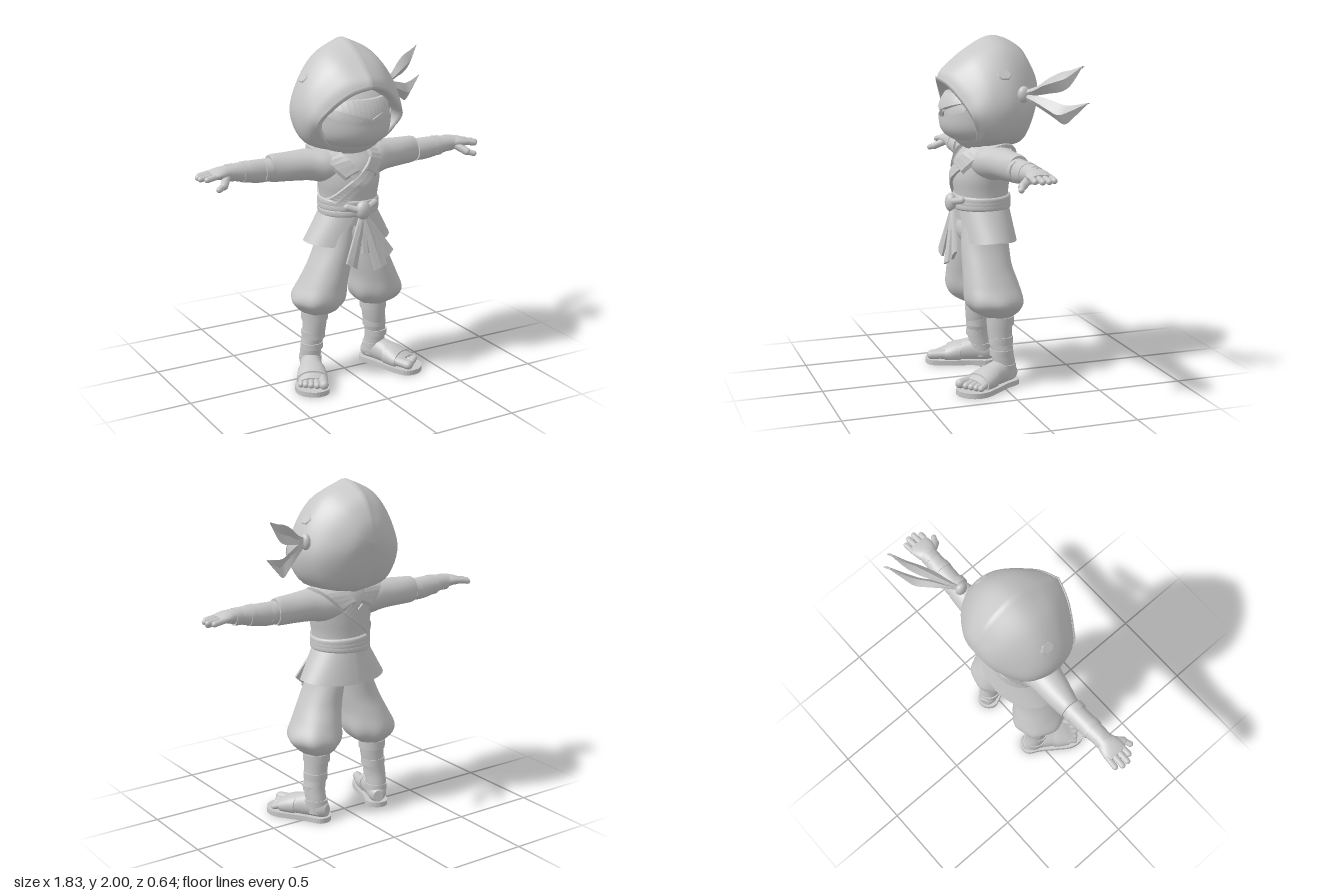
import * as THREE from 'three';

const clay = new THREE.MeshStandardMaterial({ color: 0xc8c8c8, side: THREE.DoubleSide });
clay.name = 'light grey';

function add(parent, name, geometry, pos = [0, 0, 0], scale = [1, 1, 1]) {
  const m = new THREE.Mesh(geometry, clay);
  m.name = name;
  m.position.set(...pos);
  m.scale.set(...scale);
  parent.add(m);
  return m;
}

// Resample rows of numbers with a Catmull-Rom spline
function smooth(rows, n) {
  const out = [], last = rows.length - 1;
  for (let i = 0; i < last; i++) {
    const a = rows[Math.max(i - 1, 0)], b = rows[i], c = rows[i + 1], d = rows[Math.min(i + 2, last)];
    for (let k = 0; k < n; k++) {
      const t = k / n;
      out.push(b.map((p, j) => {
        const quad = 2 * a[j] - 5 * p + 4 * c[j] - d[j], cubic = 3 * (p - c[j]) + d[j] - a[j];
        return p + 0.5 * t * (c[j] - a[j] + t * (quad + t * cubic));
      }));
    }
  }
  out.push(rows[last]);
  return out;
}

// Surface through rings of [x,y,z] points
function skin(rings, { closed = true, caps = false, flat = false } = {}) {
  if (caps) {
    const centre = r => r.map(() => [0, 1, 2].map(k => r.reduce((s, p) => s + p[k], 0) / r.length));
    const a = rings[0], b = rings[rings.length - 1];
    rings = [centre(a), a, ...rings, b, centre(b)];
  }
  const n = rings[0].length, index = [];
  for (let i = 0; i < rings.length - 1; i++) {
    for (let j = 0; j < (closed ? n : n - 1); j++) {
      const a = i * n + j, b = i * n + (j + 1) % n;
      index.push(a, b, a + n, b, b + n, a + n);
    }
  }
  let g = new THREE.BufferGeometry();
  g.setAttribute('position', new THREE.Float32BufferAttribute(rings.flat(2), 3));
  g.setIndex(index);
  if (flat) g = g.toNonIndexed();
  g.computeVertexNormals();
  return g;
}

// Elliptical loft; sections are [along, centre1, centre2, radius1, radius2, ripple]
function limb(axis, sections, sub = 4, sides = 28) {
  const rows = smooth(sections.map(s => [...s.slice(0, 5), s[5] || 0]), sub);
  return skin(rows.map(([t, a, b, ra, rb, rip]) => Array.from({ length: sides }, (_, i) => {
    const w = i / sides * Math.PI * 2, k = 1 + rip * Math.cos(7 * w);
    const u = a + ra * k * Math.cos(w), v = b + rb * k * Math.sin(w);
    return axis === 'y' ? [u, t, v] : axis === 'x' ? [t, u, v] : [u, v, t];
  })), { caps: true });
}

function capsule(parent, name, a, b, r) {
  const A = new THREE.Vector3(...a), B = new THREE.Vector3(...b), d = B.clone().sub(A);
  const m = add(parent, name, new THREE.CapsuleGeometry(r, d.length(), 5, 10), A.add(B).multiplyScalar(0.5).toArray());
  m.quaternion.setFromUnitVectors(new THREE.Vector3(0, 1, 0), d.normalize());
}

const torso = [[0.95, 0, 0.04, 0.17, 0.15], [1.1, 0, 0.045, 0.17, 0.155], [1.2, 0, 0.045, 0.185, 0.165],
  [1.3, 0, 0.03, 0.19, 0.155], [1.37, 0, 0.01, 0.16, 0.12], [1.42, 0, 0, 0.09, 0.08]];

// Depth of the torso surface at x, y
function torsoZ(x, y, side) {
  let i = 0;
  while (i < torso.length - 2 && torso[i + 1][0] < y) i++;
  const f = (y - torso[i][0]) / (torso[i + 1][0] - torso[i][0]);
  const s = torso[i].map((v, k) => v + f * (torso[i + 1][k] - v));
  return s[2] + side * s[4] * Math.sqrt(Math.max(0.08, 1 - (x / s[3]) ** 2));
}

// Cloth band laid on the torso along an [x,y] path
function lapel(path, side, width, lift) {
  return skin(smooth(path, 6).map(([x, y], i, all) => {
    const p = all[Math.max(i - 1, 0)], q = all[Math.min(i + 1, all.length - 1)];
    const l = Math.hypot(q[0] - p[0], q[1] - p[1]), nx = -(q[1] - p[1]) / l * width / 2, ny = (q[0] - p[0]) / l * width / 2;
    const at = (k, o) => [x + k * nx, y + k * ny, torsoZ(x + k * nx, y + k * ny, side) + side * o];
    return [at(-1, -0.01), at(-1, lift), at(0, lift), at(1, lift), at(1, -0.01)];
  }), { caps: true, flat: true });
}

// Closed patch bulging from the face between two height rules
function facePatch(x0, x1, top, bottom, grow) {
  const rows = [];
  for (let i = 0; i <= 14; i++) {
    const x = x0 + (x1 - x0) * i / 14;
    const row = Array.from({ length: 7 }, (_, j) => {
      const y = bottom(x) + (top(x) - bottom(x)) * j / 6;
      return [x, y, 0.03 + 0.225 * grow * Math.sqrt(Math.max(0.02, 1 - (x / 0.25) ** 2 - ((y - 1.56) / 0.225) ** 2))];
    });
    rows.push([...row, ...[6, 0].map(j => [x, row[j][1], row[j][2] - 0.04])]);
  }
  return skin(rows, { caps: true, flat: true });
}

function makeHead(model) {
  const head = new THREE.Group();
  head.name = 'head';
  model.add(head);
  // Half rings of the hood, rim to back, each from top to bottom
  const half = [
    [0, 1.77, 0.305, 0.11, 1.735, 0.27, 0.21, 1.65, 0.22, 0.265, 1.555, 0.175, 0.18, 1.44, 0.125, 0, 1.335, 0.105],
    [0, 1.82, 0.275, 0.13, 1.79, 0.23, 0.25, 1.68, 0.17, 0.3, 1.56, 0.13, 0.225, 1.425, 0.09, 0, 1.335, 0.07],
    [0, 1.93, 0.14, 0.15, 1.88, 0.12, 0.275, 1.74, 0.08, 0.322, 1.58, 0.05, 0.25, 1.42, 0.03, 0, 1.35, 0],
    [0, 2, -0.02, 0.16, 1.92, -0.03, 0.275, 1.76, -0.04, 0.315, 1.58, -0.05, 0.23, 1.42, -0.06, 0, 1.36, -0.07],
    [0, 1.93, -0.185, 0.13, 1.86, -0.17, 0.22, 1.73, -0.16, 0.26, 1.58, -0.155, 0.18, 1.43, -0.15, 0, 1.39, -0.15],
    [0, 1.8, -0.262, 0.065, 1.77, -0.26, 0.11, 1.7, -0.258, 0.12, 1.62, -0.25, 0.09, 1.53, -0.23, 0, 1.49, -0.212]];
  half.push(half[5].map((_, i) => [0, 1.68, -0.278][i % 3]));
  const rings = smooth(half, 5).map(row => {
    const pts = smooth([0, 1, 2, 3, 4, 5].map(i => row.slice(i * 3, i * 3 + 3)), 5);
    return [...pts, ...pts.slice(1, -1).reverse().map(([x, y, z]) => [-x, y, z])];
  });
  const inner = (k, dz) => rings[0].map(([x, y, z]) => [x * k, 1.56 + (y - 1.56) * k, z - dz]);
  add(head, 'hood', skin(rings));
  add(head, 'hoodRim', skin([rings[0], inner(1.03, -0.008), inner(0.92, -0.004), inner(0.9, 0.07), inner(0.85, 0.15)]));
  for (const s of [-1, 1]) {
    const patch = add(head, 'hoodPatch', new THREE.CylinderGeometry(0.036, 0.042, 0.009, 6), [s * 0.258, 1.795, -0.005], [0.9, 1, 1.05]);
    patch.rotation.z = -s * 0.95;
  }
  // Recessed face, slanted brow and eyes
  add(head, 'face', new THREE.SphereGeometry(1, 32, 20), [0, 1.56, 0.03], [0.25, 0.225, 0.225]);
  add(head, 'brow', facePatch(-0.2, 0.2, () => 1.685, x => 1.585 + Math.abs(x) * 0.3, 1.17));
  for (const s of [-1, 1]) {
    const low = x => 1.568 - Math.min(0.025, (Math.abs(x) - 0.035) * 0.5);
    add(head, 'eye', facePatch(s * 0.035, s * 0.175, x => 1.575 + (Math.abs(x) - 0.035) * 0.36, low, 1.04));
  }
  // Mask: a full-bodied half dome whose top edge rises to the sides
  const mask = new THREE.SphereGeometry(1, 36, 14, 0, Math.PI * 2, Math.PI * 0.5, Math.PI * 0.5), p = mask.attributes.position;
  for (let i = 0; i < p.count; i++) {
    const x = p.getX(i), y = p.getY(i), z = p.getZ(i);
    const k = (1 - Math.abs(y) ** 3) ** 0.45 / Math.max(0.05, Math.sqrt(1 - y * y));
    p.setXYZ(i, x * k, y + (1 + y) ** 2 * 0.45 * x * x, z * k);
  }
  mask.computeVertexNormals();
  add(head, 'mask', mask, [0, 1.548, 0.035], [0.245, 0.16, 0.252]);
  // Side knot and two ribbon ends
  add(head, 'ribbonKnot', new THREE.SphereGeometry(1, 14, 10), [0.325, 1.69, -0.095], [0.026, 0.046, 0.036]);
  const ribbons = [
    [[0.32, 1.71, 1.68], [0.4, 1.74, 1.69], [0.47, 1.79, 1.705], [0.54, 1.825, 1.72], [0.6, 1.84, 1.76], [0.67, 1.865, 1.86]],
    [[0.32, 1.7, 1.67], [0.42, 1.685, 1.62], [0.5, 1.665, 1.575], [0.56, 1.65, 1.545], [0.62, 1.655, 1.59], [0.705, 1.675, 1.67]]];
  for (const r of ribbons) {
    add(head, 'ribbon', skin(smooth(r, 4).map(([x, t, b], i, all) => {
      const z = -0.1 - (x - 0.34) * 0.58, m = (t + b) / 2, w = 0.04 * Math.sin(Math.PI * i / (all.length - 1));
      return [[x, t, z - w * 0.3], [x, m, z + w * 0.7], [x, b, z - w * 0.3], [x, m, z + w * 0.7 - 0.014]];
    }), { caps: true, flat: true }));
  }
}

function makeBody(model) {
  const body = new THREE.Group();
  body.name = 'body';
  model.add(body);
  add(body, 'tunic', limb('y', torso));
  for (const side of [1, -1]) {
    add(body, 'overLapel', lapel([[0.1, 1.31], [0.01, 1.235], [-0.08, 1.165], [-0.145, 1.08]], side, 0.065, 0.02));
    add(body, 'underLapel', lapel([[-0.1, 1.31], [-0.05, 1.265], [0.01, 1.21]], side, 0.065, 0.012));
  }
  // Collar wings over the shoulders: inner and outer edge points, front to back
  const wing = smooth([[0.025, 1.285, 0.217, 0.1, 1.245, 0.197], [0.085, 1.36, 0.16, 0.185, 1.335, 0.125], [0.1, 1.42, 0.02, 0.24, 1.405, 0],
    [0.08, 1.4, -0.1, 0.19, 1.375, -0.095], [0.02, 1.325, -0.147, 0.1, 1.285, -0.135]], 4);
  for (const s of [-1, 1]) {
    add(body, 'collar', skin(wing.map(([a, b, c, d, e, f]) => [[s * a, b, c], [s * d, e, f], [s * d, e - 0.02, f * 0.93], [s * a, b - 0.02, c * 0.93]]), { caps: true, flat: true }));
    // Skirt half, open at the front
    const rows = [];
    for (let j = 0; j <= 6; j++) {
      const t = j / 6, rx = 0.165 + 0.105 * t, rz = 0.155 + 0.02 * t, start = 0.2 + 0.4 * t;
      rows.push(Array.from({ length: 19 }, (_, i) => {
        const w = start + (Math.PI - start) * i / 18;
        return [s * rx * Math.sin(w), 1.03 - t * (0.18 + 0.02 * Math.abs(Math.cos(w))), 0.04 - 0.015 * t + rz * Math.cos(w)];
      }));
    }
    add(body, 'skirt', skin(rows, { closed: false }));
  }
  // Belt wraps, knot and hanging ends
  for (const [y, tilt] of [[1.03, 0.04], [1.055, -0.02], [1.078, -0.05]]) {
    const wrap = [[-0.022, 0, 0, 0.17, 0.155], [-0.013, 0, 0, 0.179, 0.166], [0.013, 0, 0, 0.179, 0.166], [0.022, 0, 0, 0.17, 0.155]];
    add(body, 'belt', limb('y', wrap), [0, y, 0.042]).rotation.z = tilt;
  }
  add(body, 'beltKnot', new THREE.SphereGeometry(1, 16, 12), [-0.005, 1.05, 0.225], [0.045, 0.055, 0.035]);
  capsule(body, 'beltKnotLoop', [-0.04, 1.055, 0.22], [-0.09, 1.07, 0.19], 0.02);
  capsule(body, 'beltKnotLoop', [0.03, 1.06, 0.22], [0.09, 1.075, 0.19], 0.02);
  for (const [x, y, z, w] of [[-0.1, 0.74, 0.265, 0.033], [0.08, 0.715, 0.285, 0.04], [0.145, 0.77, 0.26, 0.032], [0.01, 0.8, 0.25, 0.03]]) {
    add(body, 'sashEnd', skin([0, 0.4, 0.75, 1].map(t => {
      const cx = x * t, cy = 1.03 + (y - 1.03) * t, cz = 0.22 + (z - 0.22) * t, h = 0.018 + (w - 0.018) * t, slant = x * 0.2 * t;
      return [[cx - h, cy - slant, cz], [cx, cy, cz + 0.008], [cx + h, cy + slant, cz], [cx + h, cy + slant, cz - 0.014], [cx - h, cy - slant, cz - 0.014]];
    }), { caps: true, flat: true }));
  }
  add(body, 'hips', new THREE.SphereGeometry(1, 24, 14), [0, 0.89, 0.05], [0.175, 0.12, 0.14]);
}

// One arm and one leg on the left; the right is mirrored
function makeLimbs(side) {
  const arm = new THREE.Group(), leg = new THREE.Group(), foot = new THREE.Group();
  arm.name = 'arm'; leg.name = 'leg'; foot.name = 'foot';
  side.add(arm, leg);
  add(arm, 'sleeve', limb('x', [[0.08, 1.29, 0.025, 0.1, 0.14], [0.17, 1.295, 0.02, 0.1, 0.125], [0.25, 1.3, 0.008, 0.09, 0.1],
    [0.36, 1.3, -0.003, 0.083, 0.083], [0.45, 1.3, -0.012, 0.08, 0.066], [0.475, 1.3, -0.013, 0.075, 0.062]]));
  add(arm, 'forearm', limb('x', [[0.44, 1.295, -0.01, 0.062, 0.056], [0.54, 1.295, -0.008, 0.066, 0.06], [0.63, 1.302, -0.005, 0.058, 0.058],
    [0.71, 1.31, -0.002, 0.046, 0.052], [0.77, 1.313, 0, 0.037, 0.054]]));
  for (const [x, y, r] of [[0.5, 1.295, 0.066], [0.63, 1.303, 0.061], [0.72, 1.309, 0.05]]) {
    add(arm, 'armWrap', limb('x', [[x - 0.02, y, -0.005, r, r], [x + 0.02, y, -0.005, r * 0.96, r]], 1));
  }
  add(arm, 'palm', limb('x', [[0.73, 1.313, 0, 0.034, 0.05], [0.77, 1.315, 0, 0.034, 0.063], [0.81, 1.312, 0, 0.028, 0.068], [0.84, 1.31, 0, 0.018, 0.06]]));
  [[-0.055, 0.88], [-0.019, 0.9], [0.017, 0.9], [0.05, 0.875]].forEach(([z, tip]) => {
    capsule(arm, 'finger', [0.81, 1.312, z * 0.95], [tip, 1.3, z], 0.0165);
  });
  capsule(arm, 'thumb', [0.755, 1.295, 0.035], [0.795, 1.265, 0.088], 0.023);
  capsule(arm, 'thumb', [0.795, 1.265, 0.088], [0.832, 1.253, 0.107], 0.017);

  add(leg, 'trouserLeg', limb('y', [[0.95, 0.07, 0.05, 0.1, 0.13], [0.82, 0.1, 0.055, 0.104, 0.14], [0.7, 0.135, 0.055, 0.122, 0.145], [0.6, 0.168, 0.043, 0.138, 0.16],
    [0.51, 0.192, 0.03, 0.158, 0.17, 0.02], [0.455, 0.19, 0.02, 0.132, 0.146, 0.04], [0.415, 0.19, 0.008, 0.088, 0.095, 0.04]], 5, 42));
  add(leg, 'shin', limb('y', [[0.05, 0.218, -0.03, 0.058, 0.06], [0.13, 0.22, -0.02, 0.06, 0.066], [0.2, 0.22, -0.01, 0.062, 0.064], [0.3, 0.205, 0, 0.068, 0.071], [0.43, 0.198, 0, 0.078, 0.078]]));
  for (const [y, h, x, r] of [[0.385, 0.025, 0.2, 0.08], [0.27, 0.022, 0.209, 0.071], [0.2, 0.018, 0.22, 0.067]]) {
    add(leg, 'legWrap', limb('y', [[y - h, x, -0.003, r * 0.98, r], [y + h, x, -0.003, r, r]], 1));
  }
  // Sandal, turned outward
  foot.position.set(0.22, 0, -0.02);
  foot.rotation.y = 0.43;
  leg.add(foot);
  const outline = [[0, -0.095], [0.055, -0.068], [0.066, 0.02], [0.09, 0.14], [0.102, 0.23], [0.07, 0.3], [-0.015, 0.332], [-0.085, 0.295], [-0.092, 0.19], [-0.07, 0.05], [-0.06, -0.065]];
  const curve = new THREE.CatmullRomCurve3(outline.map(([x, y]) => new THREE.Vector3(x, y, 0)), true);
  const sole = new THREE.ExtrudeGeometry(new THREE.Shape(curve.getPoints(44).map(p => new THREE.Vector2(p.x, p.y))), { depth: 0.03, bevelEnabled: false });
  add(foot, 'sole', sole.rotateX(Math.PI / 2).translate(0, 0.03, 0));
  add(foot, 'instep', limb('z', [[-0.08, 0, 0.065, 0.03, 0.035], [-0.048, 0, 0.075, 0.054, 0.055], [0.01, 0, 0.085, 0.061, 0.07],
    [0.08, 0, 0.08, 0.068, 0.07], [0.17, 0, 0.065, 0.08, 0.054], [0.24, 0, 0.053, 0.082, 0.03]]));
  add(foot, 'toeStrap', limb('z', [[0.11, 0, 0.072, 0.08, 0.068], [0.155, 0, 0.066, 0.087, 0.064], [0.205, 0, 0.058, 0.09, 0.052]], 3));
  add(foot, 'ankleStrap', limb('y', [[0.09, 0, -0.003, 0.066, 0.072], [0.13, 0, 0, 0.067, 0.071]], 1));
  [-0.06, -0.021, 0.012, 0.043, 0.07].forEach((x, i) => {
    const r = i ? 0.022 - i * 0.001 : 0.028;
    capsule(foot, 'toe', [x * 0.95, 0.062, 0.21], [x, 0.03 + r, 0.288 - i * 0.01], r);
  });
}

export function createModel() {
  const model = new THREE.Group();
  model.name = 'hoodedFighter';
  makeHead(model);
  makeBody(model);
  for (const s of [1, -1]) {
    const side = new THREE.Group();
    side.name = s > 0 ? 'leftLimbs' : 'rightLimbs';
    side.scale.x = s;
    makeLimbs(side);
    model.add(side);
  }
  return model;
}
